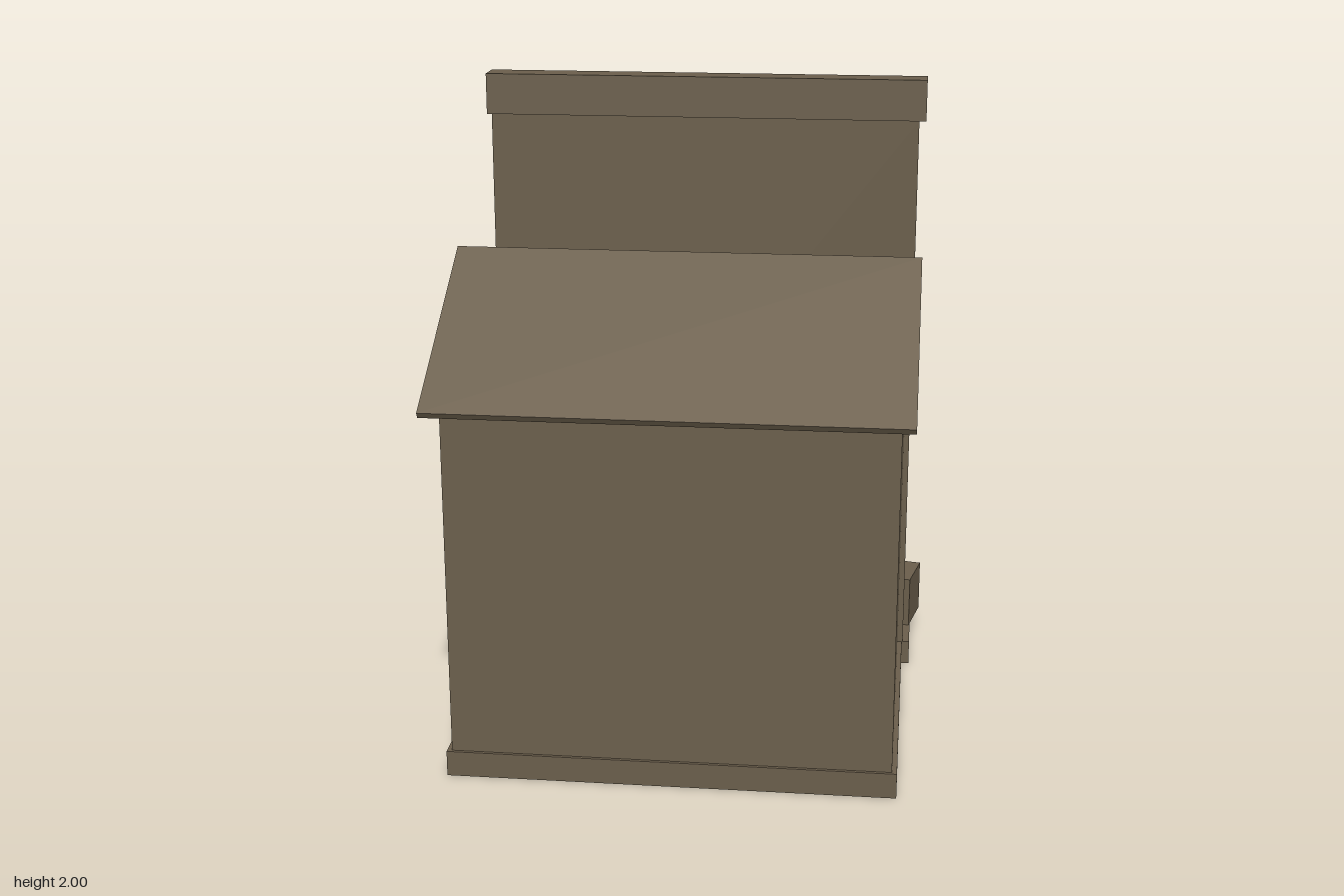
import * as THREE from 'three';

export function createModel() {
  const model = new THREE.Group();
  model.name = 'shopBuilding';
  const wood = new THREE.MeshStandardMaterial({ color: 0x6b5f4c });
  wood.name = 'weatheredWood';

  const add = (name, geometry, parent = model) => {
    const mesh = new THREE.Mesh(geometry, wood);
    mesh.name = name;
    parent.add(mesh);
    return mesh;
  };

  // Box given by its lower and upper limits on each axis
  const block = (name, [x0, x1], [y0, y1], [z0, z1]) => {
    const mesh = add(name, new THREE.BoxGeometry(x1 - x0, y1 - y0, z1 - z0));
    mesh.position.set((x0 + x1) / 2, (y0 + y1) / 2, (z0 + z1) / 2);
    return mesh;
  };

  // Side profile of [z, y] points, extruded across x
  const prism = (name, points, x0, x1) => {
    const shape = new THREE.Shape(points.map(([z, y]) => new THREE.Vector2(-z, y)));
    const geometry = new THREE.ExtrudeGeometry(shape, { depth: x1 - x0, bevelEnabled: false });
    geometry.rotateY(Math.PI / 2).translate(x0, 0, 0);
    return add(name, geometry);
  };

  // Crate turned about the vertical axis, standing on height y
  const crate = (name, [w, h, d], [x, y, z], turn) => {
    const mesh = add(name, new THREE.BoxGeometry(w, h, d));
    mesh.position.set(x, y + h / 2, z);
    mesh.rotation.y = turn;
  };

  // Foundation and wider porch floor
  block('foundation', [-0.7, 0.665], [0, 0.08], [-0.355, 0.625]);
  block('porchFloor', [-0.725, 0.69], [0, 0.08], [-0.71, -0.355]);

  // Gabled body
  prism('gabledBody', [
    [0.615, 0.08], [0.615, 1.215], [0.13, 1.455], [-0.355, 1.215], [-0.355, 0.08],
  ], -0.685, 0.65);

  // Tall false wall with its cap
  block('falseWall', [-0.71, 0.668], [0.08, 1.87], [-0.4, -0.355]);
  block('wallCap', [-0.725, 0.69], [1.87, 2], [-0.445, -0.35]);

  // Thin roof panels
  prism('frontRoof', [[0.13, 1.54], [0.72, 1.187], [0.71, 1.17], [0.13, 1.515]], -0.725, 0.69);
  prism('backRoof', [[0.13, 1.54], [0.13, 1.515], [-0.36, 1.222], [-0.36, 1.245]], -0.725, 0.69);
  prism('porchRoof', [[-0.355, 1.315], [-0.355, 1.29], [-0.707, 1.05], [-0.72, 1.067]], -0.725, 0.69);

  // Porch posts
  for (let i = 0; i < 4; i++) {
    const x = 0.595 - i * 0.408;
    block('porchPost' + (i + 1), [x - 0.022, x + 0.022], [0.08, 0.985], [-0.67, -0.625]);
  }

  // Barrels: bulging staves closed by flat lids
  const bulge = [];
  for (let i = 0; i <= 8; i++) {
    const t = i / 8;
    bulge.push(new THREE.Vector2(0.095 + 0.02 * Math.sin(Math.PI * t), 0.32 * t));
  }
  [[-0.377, -0.53], [-0.57, -0.595]].forEach(([x, z], i) => {
    const barrel = new THREE.Group();
    barrel.name = 'barrel' + (i + 1);
    barrel.position.set(x, 0.08, z);
    add('staves', new THREE.LatheGeometry(bulge, 24), barrel);
    const lid = add('lid', new THREE.CircleGeometry(0.095, 24), barrel);
    lid.rotation.x = -Math.PI / 2;
    lid.position.y = 0.32;
    model.add(barrel);
  });

  // Crates
  crate('barrelCrate', [0.15, 0.13, 0.15], [-0.566, 0.4, -0.58], 0.37);
  crate('lowerCrate', [0.28, 0.17, 0.17], [0.566, 0.08, -0.61], -0.2);
  crate('upperCrate', [0.2, 0.15, 0.155], [0.525, 0.25, -0.607], 0.25);

  // Small stack of logs beside the crates
  [[0.11, -0.595], [0.11, -0.535], [0.162, -0.565]].forEach(([y, z], i) => {
    const log = add('log' + (i + 1), new THREE.CylinderGeometry(0.03, 0.03, 0.2, 12));
    log.rotation.z = Math.PI / 2;
    log.position.set(0.42, y, z);
  });

  return model;
}
